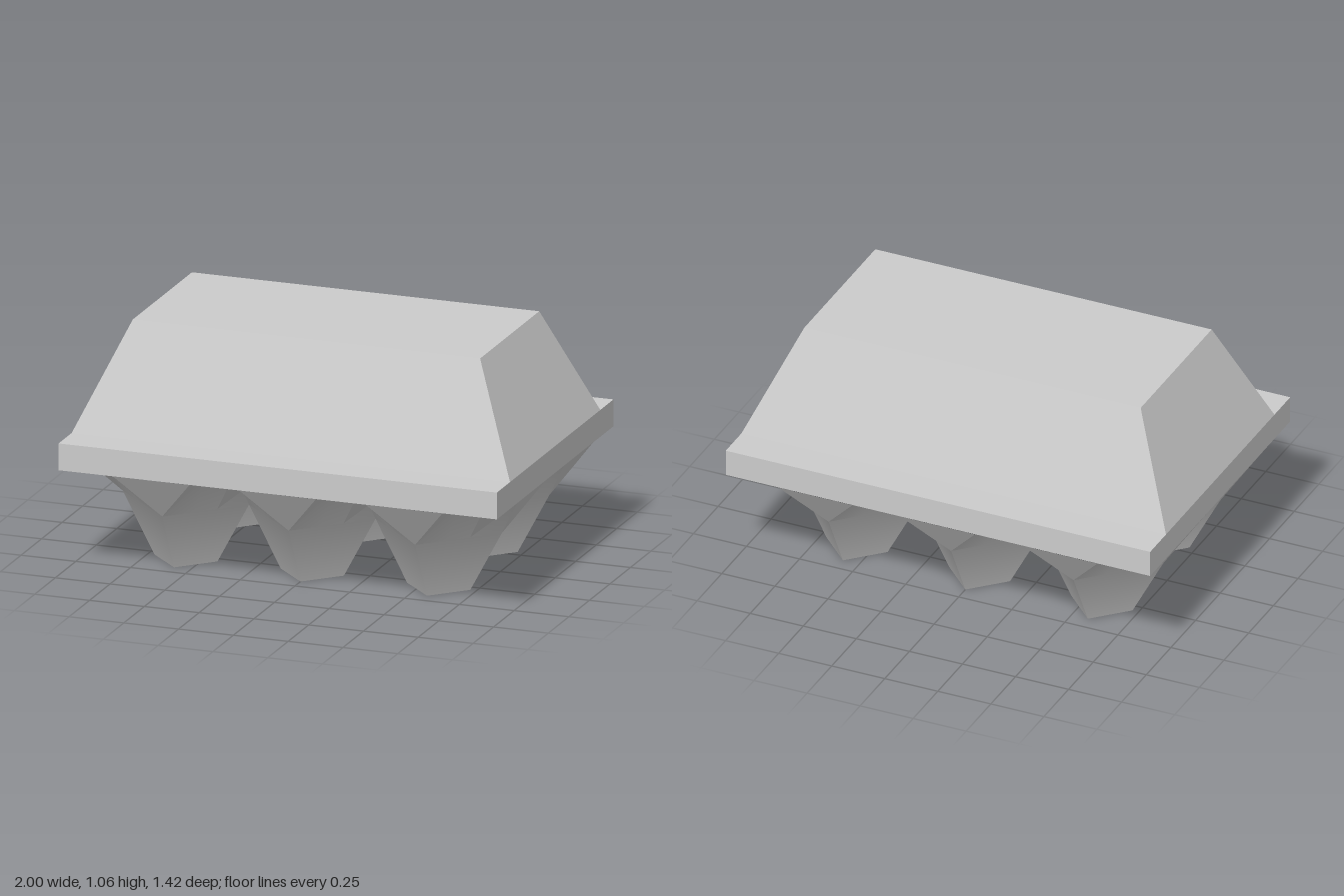
import * as THREE from 'three';
import { toCreasedNormals } from 'three/addons/utils/BufferGeometryUtils.js';

const material = new THREE.MeshStandardMaterial({ color: 0xcccccc });
const PITCH = 0.577;

// One quarter of each cup cross-section as [x, z], from the front corner towards the side corner
const diamondQuarter = r => [[0, r], [0, r], [r * 0.365, r * 0.635], [r * 0.635, r * 0.365], [r, 0]];
const RIM_QUARTER = [[0, 0.423], [0.175, 0.423], [0.21, 0.30], [0.30, 0.21], [0.423, 0.175]];

// Turn a quarter about the vertical axis four times into a closed ring
function ring(quarter, y) {
  const points = [];
  let q = quarter;
  for (let i = 0; i < 4; i++) {
    points.push(...q.map(([x, z]) => [x, y, z]));
    q = q.map(([x, z]) => [z, -x]);
  }
  return points;
}

// Tapered diamond cup that flares into a cross-shaped rim
function cupGeometry() {
  const rings = [
    ring(diamondQuarter(0.144), 0),
    ring(diamondQuarter(0.288), 0.27),
    ring(RIM_QUARTER, 0.47),
  ];
  const n = rings[0].length;
  const positions = [];
  for (let i = 0; i < n; i++) {
    const j = (i + 1) % n;
    positions.push(0, 0, 0, ...rings[0][j], ...rings[0][i]);
    for (let k = 0; k < 2; k++) {
      const [low, high] = [rings[k], rings[k + 1]];
      positions.push(...low[i], ...low[j], ...high[j], ...low[i], ...high[j], ...high[i]);
    }
  }
  const geometry = new THREE.BufferGeometry();
  geometry.setAttribute('position', new THREE.Float32BufferAttribute(positions, 3));
  geometry.computeVertexNormals();
  return toCreasedNormals(geometry, 0.5);
}

// Box whose top is scaled in towards its centre
function taperedBox(width, height, depth, topWidth, topDepth) {
  const geometry = new THREE.BoxGeometry(width, height, depth).toNonIndexed();
  const p = geometry.attributes.position;
  for (let i = 0; i < p.count; i++) {
    if (p.getY(i) > 0) {
      p.setX(i, Math.sign(p.getX(i)) * topWidth / 2);
      p.setZ(i, Math.sign(p.getZ(i)) * topDepth / 2);
    }
  }
  geometry.computeVertexNormals();
  return geometry;
}

export function createModel() {
  const model = new THREE.Group();
  model.name = 'eggCarton';
  const add = (name, geometry, x, y, z, parent = model) => {
    const mesh = new THREE.Mesh(geometry, material);
    mesh.name = name;
    mesh.position.set(x, y, z);
    parent.add(mesh);
  };

  // Lid and the flat rim below it
  add('lid', taperedBox(2, 0.475, 1.1, 1.585, 0.72), 0, 0.8275, 0);
  add('rim', new THREE.BoxGeometry(2, 0.12, 1.42), 0, 0.53, 0);

  // Three by two egg cups
  const cups = new THREE.Group();
  cups.name = 'cups';
  model.add(cups);
  const cup = cupGeometry();
  for (const column of [-1, 0, 1]) {
    for (const row of [-0.5, 0.5]) add('cup', cup, column * PITCH, 0, row * PITCH, cups);
  }
  return model;
}
